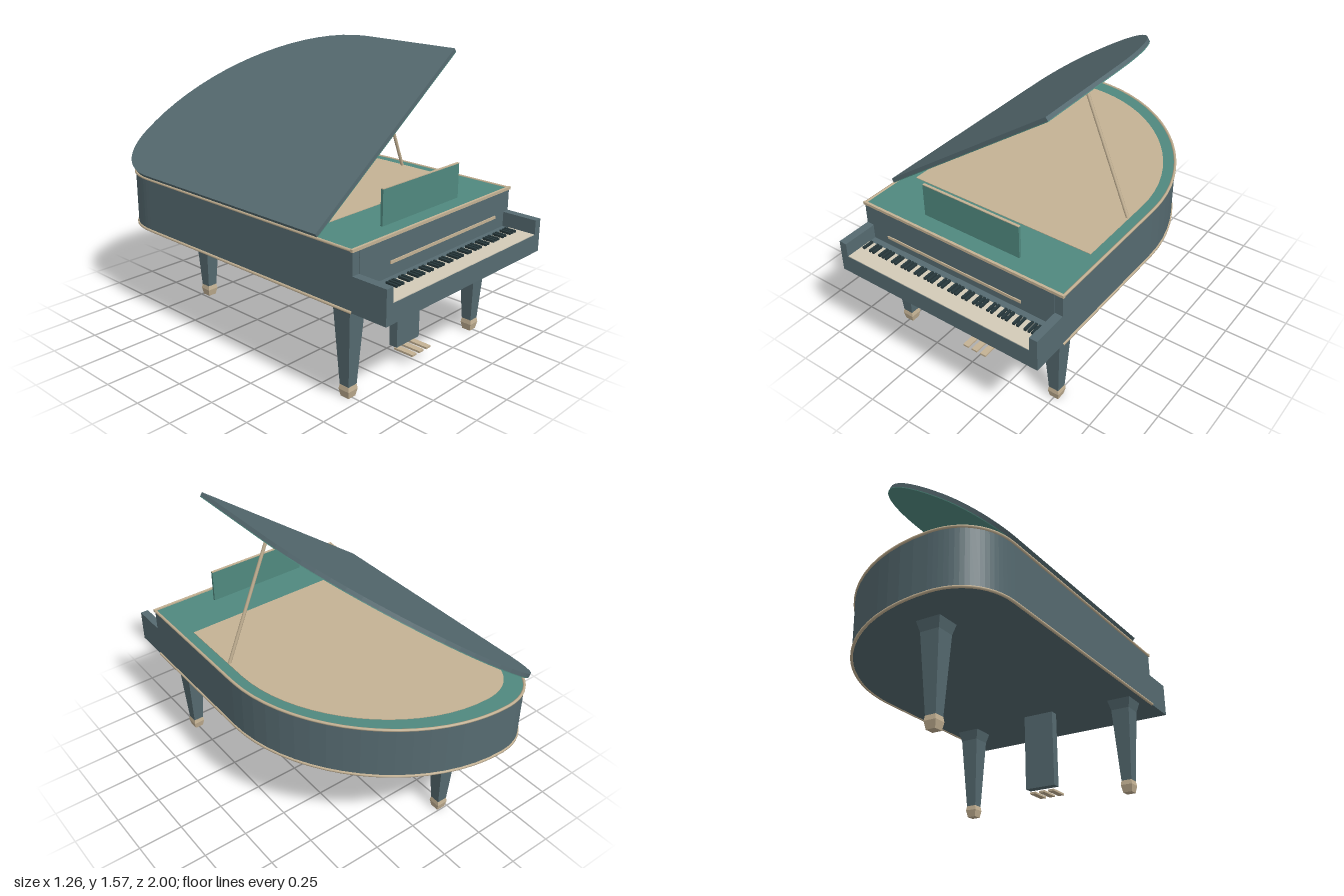
import * as THREE from 'three';

const slate = new THREE.MeshStandardMaterial({ color: 0x566b71, name: 'slate' });
const teal = new THREE.MeshStandardMaterial({ color: 0x50897f, name: 'teal' });
const brass = new THREE.MeshStandardMaterial({ color: 0xc4b294, name: 'brass' });
const cream = new THREE.MeshStandardMaterial({ color: 0xd3cbb8, name: 'cream' });
const dark = new THREE.MeshStandardMaterial({ color: 0x26373b, name: 'dark' });

// Plan outline of the case (shape y = -z), cut straight across at z = front
function outline(front, s = 1) {
  const p = new THREE.Shape();
  p.moveTo(0.62 * s, -front);
  p.lineTo(0.62 * s, 0);
  p.bezierCurveTo(0.62 * s, 0.5 * s, 0.16 * s, 0.99 * s, -0.35 * s, 0.99 * s);
  p.bezierCurveTo(-0.52 * s, 0.99 * s, -0.62 * s, 0.88 * s, -0.62 * s, 0.7 * s);
  p.lineTo(-0.62 * s, -front);
  p.closePath();
  return p;
}

// Horizontal slab of an outline, its underside at y
function slab(name, shape, y, height, material) {
  const g = new THREE.ExtrudeGeometry(shape, { depth: height, bevelEnabled: false, curveSegments: 18 });
  g.rotateX(-Math.PI / 2);
  const m = new THREE.Mesh(g, material);
  m.position.y = y;
  m.name = name;
  return m;
}

// Box given by its minimum and maximum corners
function box(name, [x0, y0, z0], [x1, y1, z1], material) {
  const m = new THREE.Mesh(new THREE.BoxGeometry(x1 - x0, y1 - y0, z1 - z0), material);
  m.position.set((x0 + x1) / 2, (y0 + y1) / 2, (z0 + z1) / 2);
  m.name = name;
  return m;
}

// Slim round moulding following the sides and tail of the case
function moulding(name, y) {
  const pts = outline(0.8).getPoints(18).map(p => new THREE.Vector3(p.x, y, -p.y));
  if (pts[0].distanceTo(pts[pts.length - 1]) < 1e-6) pts.pop();
  const path = new THREE.CurvePath();
  for (let i = 1; i < pts.length; i++) path.add(new THREE.LineCurve3(pts[i - 1], pts[i]));
  const m = new THREE.Mesh(new THREE.TubeGeometry(path, 110, 0.008, 6), brass);
  m.name = name;
  return m;
}

// Square turned section from [full width, y] pairs
function squareLathe(name, profile, material) {
  const pts = profile.map(([w, y]) => new THREE.Vector2(w * Math.SQRT1_2, y));
  let g = new THREE.LatheGeometry(pts, 4);
  g.rotateY(Math.PI / 4);
  g = g.toNonIndexed();
  g.computeVertexNormals();
  const m = new THREE.Mesh(g, material);
  m.name = name;
  return m;
}

function leg(name, x, z) {
  const g = new THREE.Group();
  g.name = name;
  g.add(squareLathe('legPost', [[0, 0.065], [0.058, 0.065], [0.105, 0.465], [0.137, 0.525], [0, 0.525]], slate));
  g.add(squareLathe('legFoot', [[0, 0], [0.05, 0], [0.066, 0.04], [0.056, 0.07], [0, 0.07]], brass));
  g.position.set(x, 0, z);
  return g;
}

export function createModel() {
  const model = new THREE.Group();
  model.name = 'grandPiano';

  // Case with its top plate and soundboard
  model.add(slab('case', outline(0.8), 0.52, 0.3, slate));
  model.add(slab('topPlate', outline(0.795, 0.995), 0.819, 0.004, teal));
  model.add(slab('soundboard', outline(0.48, 0.9), 0.821, 0.005, brass));
  model.add(moulding('upperMoulding', 0.822));
  model.add(moulding('lowerMoulding', 0.522));
  model.add(box('frontMoulding', [-0.627, 0.815, 0.792], [0.627, 0.83, 0.806], brass));

  // Keyboard bed, cheeks and front panel
  model.add(box('keyBed', [-0.575, 0.52, 0.79], [0.575, 0.62, 1], slate));
  for (const s of [-1, 1]) {
    const cheek = box('cheek', [-0.0225, 0.52, 0.79], [0.0225, 0.7, 1], slate);
    cheek.position.x = s * 0.5975;
    model.add(cheek);
  }
  model.add(box('frontPanel', [-0.575, 0.62, 0.797], [0.575, 0.815, 0.803], slate));
  model.add(box('fallboardStrip', [-0.42, 0.715, 0.85], [0.42, 0.73, 0.856], brass));

  // Keys: 52 naturals as one plate, sharps in the usual groups of two and three
  model.add(box('whiteKeys', [-0.572, 0.618, 0.845], [0.572, 0.624, 0.998], cream));
  const sharps = new THREE.Group();
  sharps.name = 'blackKeys';
  const pitch = 1.144 / 52;
  for (let i = 1; i < 51; i++) {
    if (![1, 3, 4, 6, 0].includes(i % 7)) continue;
    const x = -0.572 + i * pitch;
    sharps.add(box('blackKey', [x - 0.0065, 0.622, 0.848], [x + 0.0065, 0.636, 0.912], dark));
  }
  model.add(sharps);

  // Music desk
  model.add(box('musicDesk', [-0.298, 0.82, 0.685], [0.298, 1.006, 0.699], teal));
  model.add(box('musicDeskCap', [-0.298, 1.006, 0.685], [0.298, 1.01, 0.699], brass));

  // Raised lid, hinged along the straight side
  const lid = new THREE.Group();
  lid.name = 'lid';
  const top = slab('lidTop', outline(0.585), 0.004, 0.021, slate);
  const under = slab('lidUnderside', outline(0.585), 0, 0.004, teal);
  top.position.x = under.position.x = 0.62;
  lid.add(top, under);
  lid.position.set(-0.62, 0.826, 0);
  lid.rotation.z = THREE.MathUtils.degToRad(35.7);
  model.add(lid);

  // Prop stick
  const a = new THREE.Vector3(0.55, 0.822, 0.13), b = new THREE.Vector3(0.282, 1.482, 0.13);
  const prop = new THREE.Mesh(new THREE.CylinderGeometry(0.009, 0.009, a.distanceTo(b), 8), brass);
  prop.position.copy(a).lerp(b, 0.5);
  prop.quaternion.setFromUnitVectors(new THREE.Vector3(0, 1, 0), b.clone().sub(a).normalize());
  prop.name = 'propStick';
  model.add(prop);

  // Legs
  model.add(leg('frontLeftLeg', 0.5, 0.675), leg('frontRightLeg', -0.5, 0.675), leg('backLeg', -0.21, -0.72));

  // Pedal board and pedals
  model.add(box('pedalBoard', [-0.091, 0.088, 0.59], [0.091, 0.525, 0.64], slate));
  for (const x of [-0.058, 0, 0.058]) {
    model.add(box('pedal', [x - 0.0175, 0.062, 0.61], [x + 0.0175, 0.073, 0.73], brass));
  }
  return model;
}
